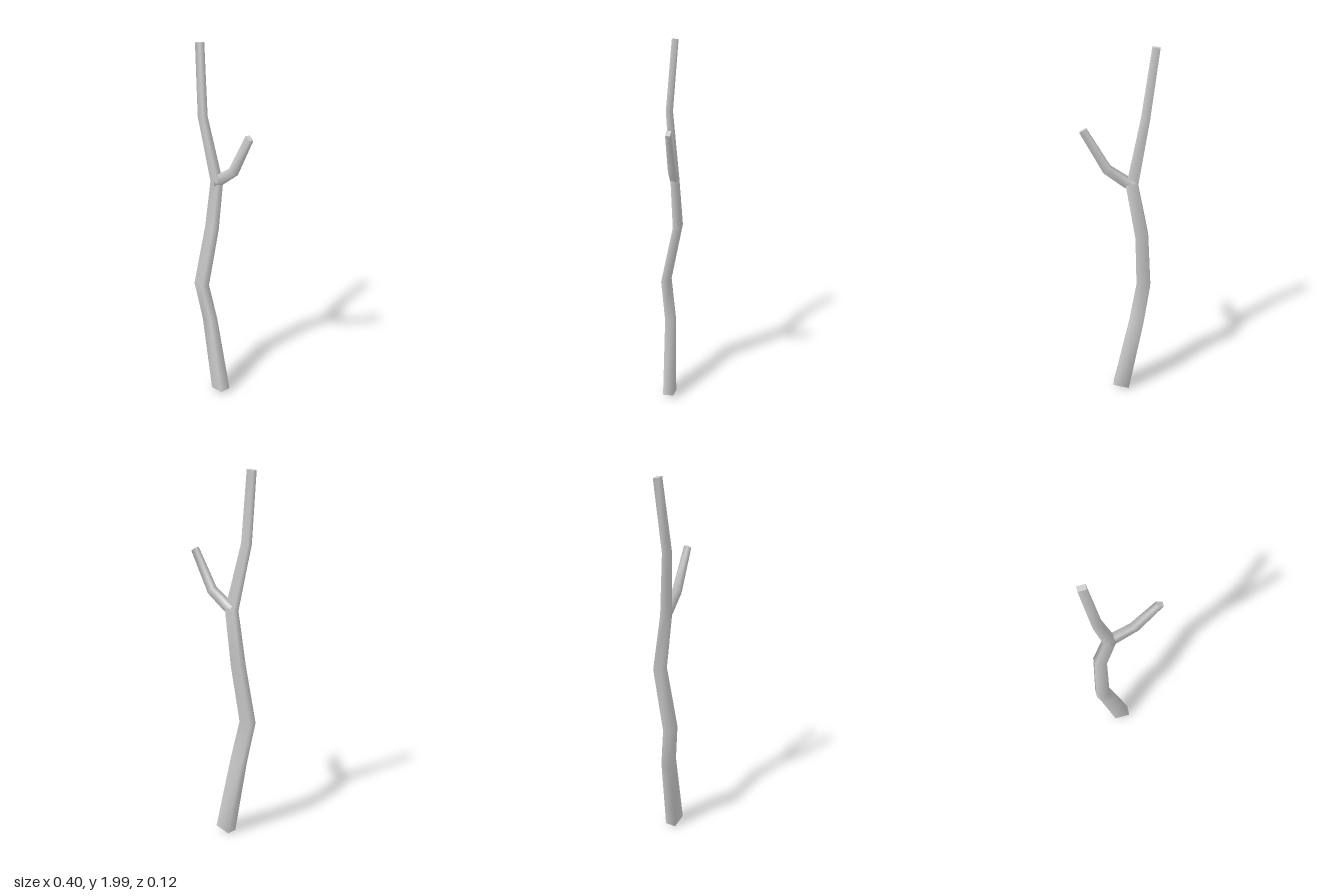
import * as THREE from 'three';

const material = new THREE.MeshStandardMaterial({ color: 0xcccccc });
const YAW = new THREE.Vector3(Math.cos(0.17), 0, Math.sin(0.17));

// Four-sided limb through stations [x, y, z, width, depth], smooth sides and flat ends
function limb(name, stations) {
  const points = stations.map(([x, y, z]) => new THREE.Vector3(x, y, z));
  const last = points.length - 1;
  const rings = stations.map(([, , , w, d], i) => {
    const before = points[i].clone().sub(points[Math.max(i - 1, 0)]).normalize();
    const after = points[Math.min(i + 1, last)].clone().sub(points[i]).normalize();
    const t = before.add(after).normalize();
    const u = YAW.clone().addScaledVector(t, -YAW.dot(t)).normalize();
    const v = new THREE.Vector3().crossVectors(u, t);
    return [[1, 1], [1, -1], [-1, -1], [-1, 1]].map(([a, b]) =>
      points[i].clone().addScaledVector(u, a * w / 2).addScaledVector(v, b * d / 2));
  });

  const corners = rings.flat();
  const index = [];
  for (let s = 0; s < last; s++) {
    for (let i = 0; i < 4; i++) {
      const a = s * 4 + i, b = s * 4 + (i + 1) % 4;
      index.push(a, b, b + 4, a, b + 4, a + 4);
    }
  }
  // End caps use their own corners so their rims stay sharp
  for (const cap of [[...rings[0]].reverse(), rings[last]]) {
    const n = corners.length;
    corners.push(...cap);
    index.push(n, n + 1, n + 2, n, n + 2, n + 3);
  }

  const geometry = new THREE.BufferGeometry().setFromPoints(corners);
  geometry.setIndex(index);
  geometry.computeVertexNormals();
  const mesh = new THREE.Mesh(geometry, material);
  mesh.name = name;
  return mesh;
}

export function createModel() {
  const group = new THREE.Group();
  group.name = 'bareTree';

  // Crooked, tapering trunk
  group.add(limb('trunk', [
    [-0.015, 0.017, 0.011, 0.092, 0.06],
    [-0.1, 0.45, 0.008, 0.08, 0.046],
    [-0.139, 0.67, 0.032, 0.075, 0.046],
    [-0.118, 1.0, -0.032, 0.066, 0.044],
    [-0.066, 1.285, -0.016, 0.062, 0.036],
    [-0.134, 1.63, 0.014, 0.047, 0.029],
    [-0.178, 1.994, -0.015, 0.04, 0.028],
  ]));

  // Side branch, rooted inside the trunk at the fork
  group.add(limb('branch', [
    [-0.07, 1.288, -0.015, 0.055, 0.034],
    [-0.035, 1.307, -0.013, 0.05, 0.036],
    [0.063, 1.375, -0.003, 0.045, 0.034],
    [0.182, 1.582, 0.013, 0.037, 0.025],
  ]));

  return group;
}
